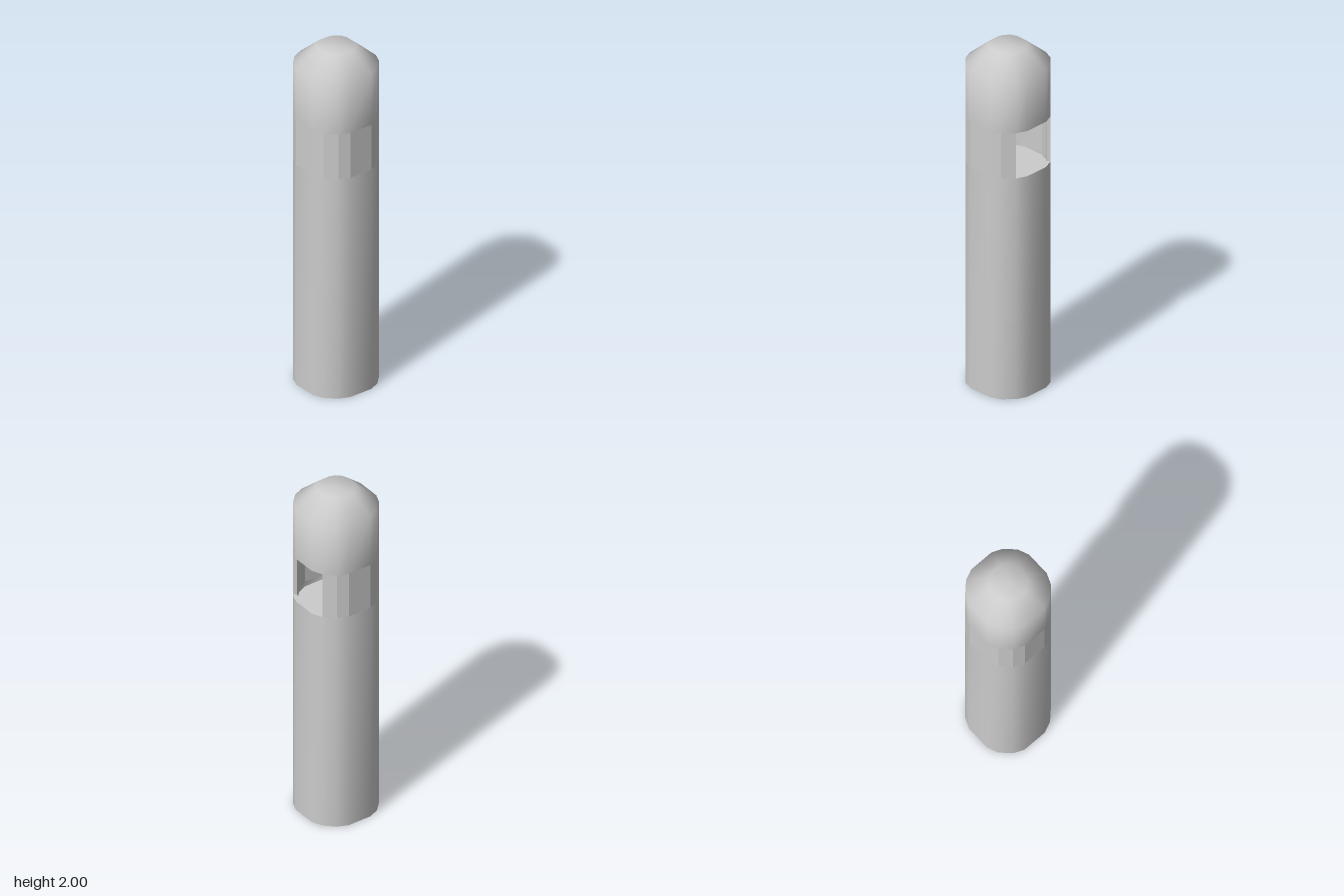
import * as THREE from 'three';
import { toCreasedNormals } from 'three/addons/utils/BufferGeometryUtils.js';

// Sixteen-sided rounded-square outline as [x, z], one quadrant turned four times
const outline = [];
for (let q = 0; q < 4; q++) {
  for (const [x, z] of [[0.21, 0.07], [0.185, 0.13], [0.13, 0.185], [0.07, 0.21]]) {
    outline.push([[x, z], [-z, x], [-x, -z], [z, -x]][q]);
  }
}
const N = outline.length;

// Skins the outline through [scale, y] rings; scale 0 closes an end
function loft(rings, crease) {
  const pos = [], idx = [];
  for (const [s, y] of rings) for (const [x, z] of outline) pos.push(x * s, y, z * s);
  for (let r = 0; r < rings.length - 1; r++) {
    for (let i = 0; i < N; i++) {
      const j = (i + 1) % N;
      const a = r * N + i, b = r * N + j, c = a + N, d = b + N;
      if (rings[r][0] > 0) idx.push(a, c, b);
      if (rings[r + 1][0] > 0) idx.push(b, c, d);
    }
  }
  const geo = new THREE.BufferGeometry();
  geo.setAttribute('position', new THREE.Float32BufferAttribute(pos, 3));
  geo.setIndex(idx);
  return toCreasedNormals(geo, crease);
}

export function createModel() {
  const group = new THREE.Group();
  const smooth = new THREE.MeshStandardMaterial({ color: 0xcccccc });
  const flat = new THREE.MeshStandardMaterial({ color: 0xcccccc, flatShading: true });
  const add = (name, geo, mat) => {
    const mesh = new THREE.Mesh(geo, mat);
    mesh.name = name;
    group.add(mesh);
  };

  // Tall shaft with a shallow cup at its upper end
  add('shaft', loft([[0, 0], [1, 0], [1, 1.32], [0.9, 1.32], [0.9, 1.29], [0, 1.29]], 0.7), smooth);

  // Thin wall around the chamber, left open on the +x side
  const wall = outline.slice(1, N - 1);
  const inner = wall.map(([x, z]) => [x * 0.9, z * 0.9]).reverse();
  const shape = new THREE.Shape([...wall, ...inner].map(([x, z]) => new THREE.Vector2(x, z)));
  const band = new THREE.ExtrudeGeometry(shape, { depth: 0.27, bevelEnabled: false });
  band.rotateX(Math.PI / 2).translate(0, 1.59, 0);
  add('chamberWall', band, flat);

  // Cap with a closed underside, straight sides and a sloped shoulder
  add('cap', loft([[0, 1.59], [1, 1.59], [1, 1.9], [0.47, 2], [0, 2]], 0.95), smooth);

  return group;
}
